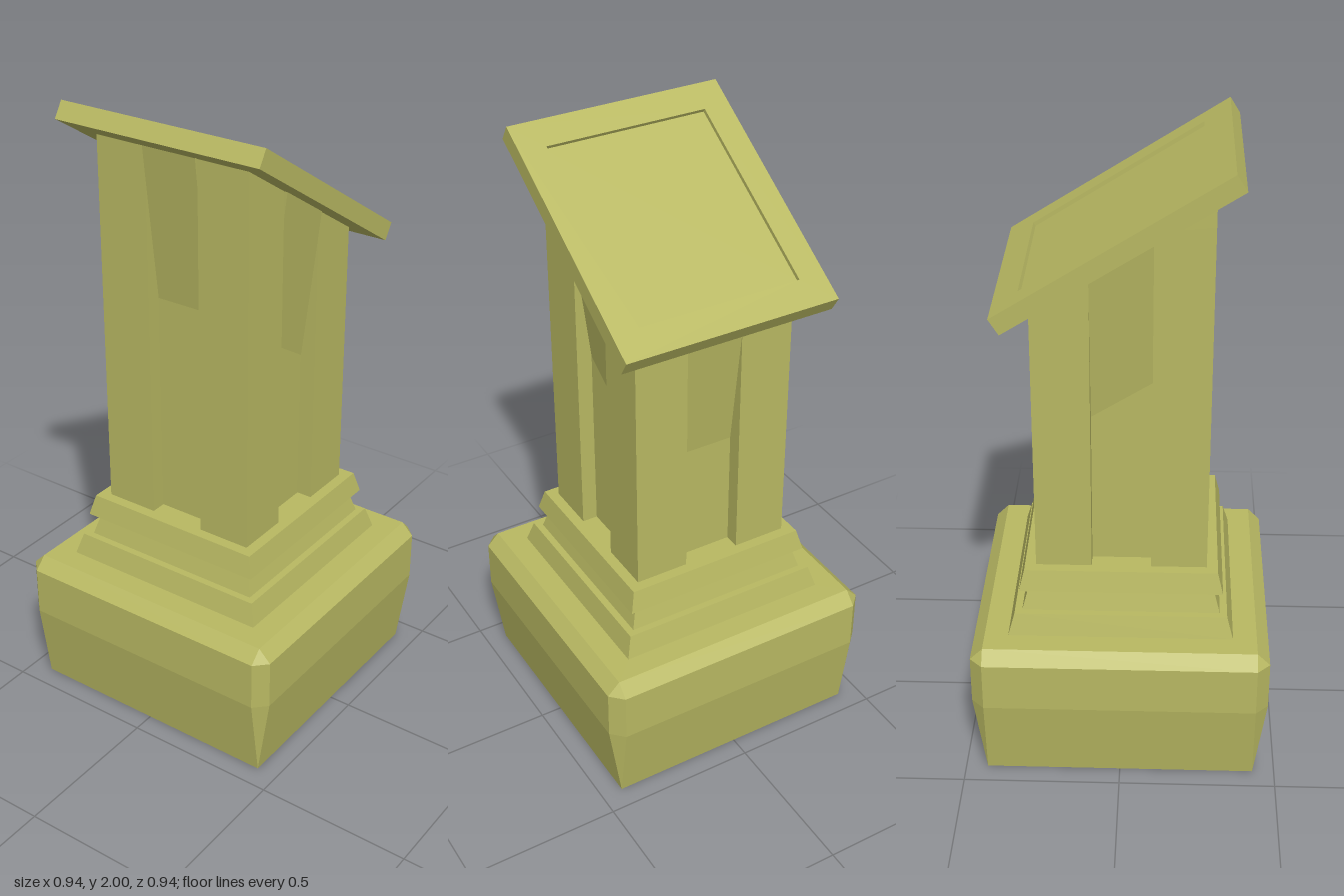
import * as THREE from 'three';

const material = new THREE.MeshStandardMaterial({ color: 0xb8b862, flatShading: true });

// Skin a stack of matching rings with flat faces; optionally close both ends.
function loft(name, rings, caps = true) {
  const pos = [];
  const tri = (a, b, c) => {
    const area = b.clone().sub(a).cross(c.clone().sub(a)).length();
    if (area > 1e-9) for (const p of [a, b, c]) pos.push(p.x, p.y, p.z);
  };
  const n = rings[0].length;
  for (let r = 0; r < rings.length - 1; r++) {
    const lo = rings[r], hi = rings[r + 1];
    for (let i = 0; i < n; i++) {
      const j = (i + 1) % n;
      tri(lo[i], hi[i], hi[j]);
      tri(lo[i], hi[j], lo[j]);
    }
  }
  if (caps) {
    const bottom = rings[0], top = rings[rings.length - 1];
    const cb = new THREE.Vector3(0, bottom[0].y, 0), ct = new THREE.Vector3(0, top[0].y, 0);
    for (let i = 0; i < n; i++) {
      const j = (i + 1) % n;
      tri(cb, bottom[i], bottom[j]);
      tri(ct, top[j], top[i]);
    }
  }
  const geometry = new THREE.BufferGeometry();
  geometry.setAttribute('position', new THREE.Float32BufferAttribute(pos, 3));
  geometry.computeVertexNormals();
  const mesh = new THREE.Mesh(geometry, material);
  mesh.name = name;
  return mesh;
}

// Repeat one side's points around the four sides of a square.
function fourSides(side) {
  const pts = [];
  for (let k = 0; k < 4; k++) {
    for (const [x0, z0, y0] of side(k)) {
      let x = x0, z = z0;
      for (let t = 0; t < k; t++) [x, z] = [-z, x];
      pts.push(new THREE.Vector3(x, y0, z));
    }
  }
  return pts;
}

// Square ring of half-width h with corners cut by c.
const squareRing = (y, h, c = 0) => fourSides(() => [[h, h - c, y], [h - c, h, y]]);

// Height of the sloping desk's underside.
const deskY = (x) => 1.733 - 0.63 * x;

// Column ring: each side has a groove of the given depth; heights follow the
// desk slope at "offset", or stay level when a height is given.
function columnRing(depth, offset, level) {
  const h = 0.268, g = 0.093;
  const side = [[h, -h, 0], [h, -g, 0], [h, -g, depth], [h, g, depth], [h, g, 0]];
  return fourSides((k) => side.map(([x, z, d]) => {
    let wx = x, wz = z;
    for (let t = 0; t < k; t++) [wx, wz] = [-wz, wx];
    return [x - d, z, level ?? deskY(wx) + offset];
  }));
}

export function createModel() {
  const model = new THREE.Group();
  model.name = 'lectern';

  // Heavy foot, tapered below and bevelled above
  model.add(loft('foot', [
    squareRing(0, 0.43), squareRing(0.27, 0.47, 0.04),
    squareRing(0.43, 0.47, 0.04), squareRing(0.47, 0.43),
  ]));

  // Stepped plinth mouldings
  model.add(loft('plinth', [
    [0.47, 0.355], [0.54, 0.335], [0.54, 0.312], [0.6, 0.295], [0.615, 0.32], [0.683, 0.303],
  ].map(([y, h]) => squareRing(y, h))));

  // Grooved column; the groove floors slope out to the surface near the top
  model.add(loft('column', [
    columnRing(0.05, 0, 0.683), columnRing(0.05, -0.49),
    columnRing(0, -0.087), columnRing(-0.011, 0.005),
  ], false));

  // Sloping desk: solid board plus a shallow raised rim
  const desk = new THREE.Group();
  desk.name = 'desk';
  const halfL = 0.408, halfW = 0.355, thick = 0.058, rimH = 0.013;
  const rect = (path, a, b) => path.moveTo(-a, -b).lineTo(a, -b).lineTo(a, b).lineTo(-a, b).closePath();

  const board = new THREE.Mesh(
    new THREE.BoxGeometry(halfL * 2, thick - rimH, halfW * 2), material);
  board.name = 'deskBoard';
  board.position.y = -(thick + rimH) / 2;

  const outline = new THREE.Shape();
  outline.moveTo(-halfL, -halfW);
  outline.lineTo(halfL, -halfW);
  outline.lineTo(halfL, halfW);
  outline.lineTo(-halfL, halfW);
  outline.closePath();
  const opening = new THREE.Path();
  opening.moveTo(-0.314, -0.268);
  opening.lineTo(-0.314, 0.268);
  opening.lineTo(0.314, 0.268);
  opening.lineTo(0.314, -0.268);
  opening.closePath();
  outline.holes.push(opening);
  const rimGeometry = new THREE.ExtrudeGeometry(outline, { depth: rimH, bevelEnabled: false });
  rimGeometry.rotateX(-Math.PI / 2);
  const rim = new THREE.Mesh(rimGeometry, material);
  rim.name = 'deskRim';
  rim.position.y = -rimH;

  desk.add(board, rim);
  desk.position.set(0.03, 1.7825, 0);
  desk.rotation.z = -Math.atan2(0.435, 0.69);
  model.add(desk);

  return model;
}
